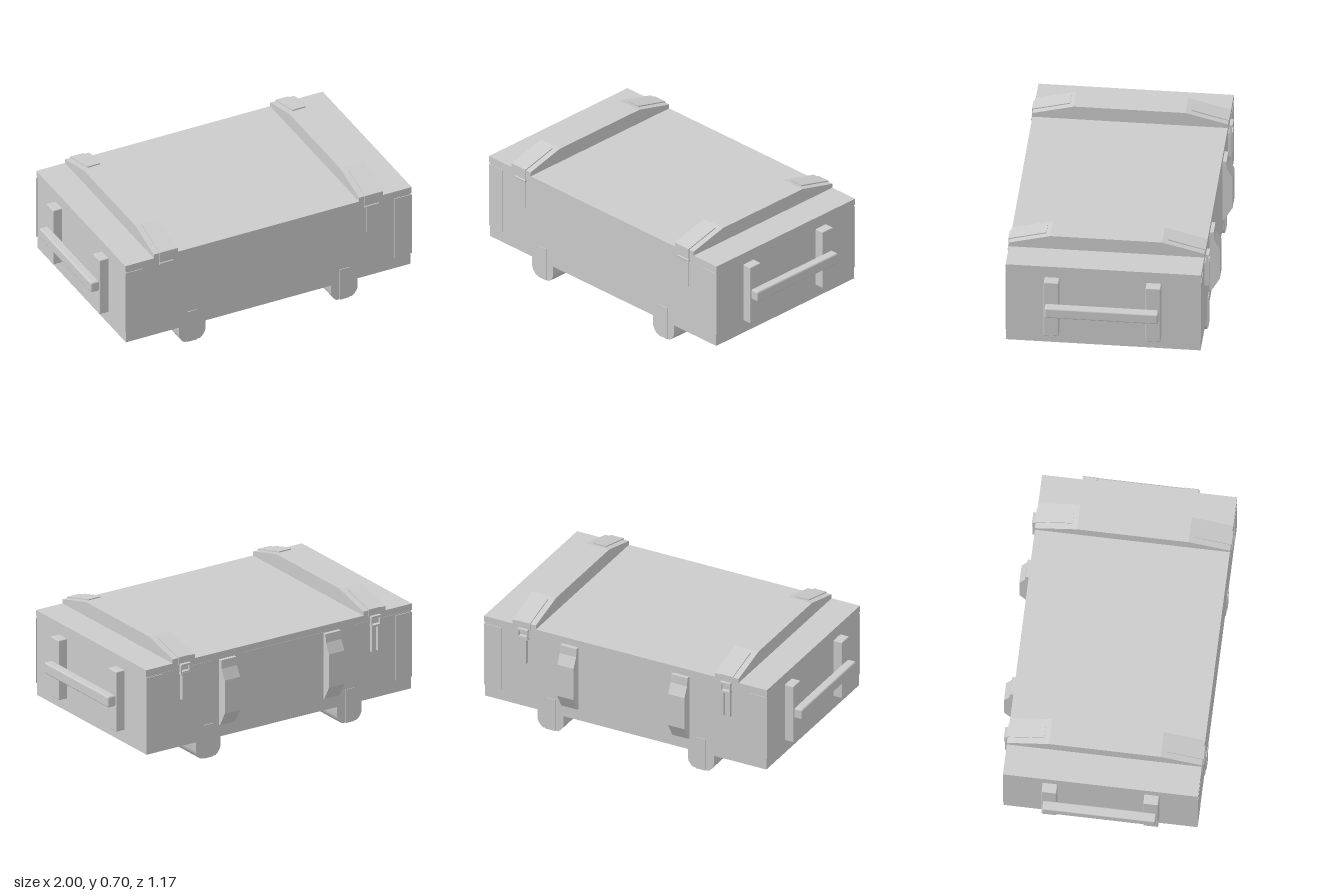
import * as THREE from 'three';
import { RoundedBoxGeometry } from 'three/addons/geometries/RoundedBoxGeometry.js';
import { toCreasedNormals } from 'three/addons/utils/BufferGeometryUtils.js';

const material = new THREE.MeshStandardMaterial({ color: 0xcccccc });

export function createModel() {
  const model = new THREE.Group();
  const add = (name, geometry) => {
    const mesh = new THREE.Mesh(geometry, material);
    mesh.name = name;
    model.add(mesh);
    return mesh;
  };
  // Box given by its extents on each axis
  const box = (name, x0, x1, y0, y1, z0, z1, radius = 0) => {
    const size = [Math.abs(x1 - x0), y1 - y0, z1 - z0];
    const geometry = radius ? new RoundedBoxGeometry(...size, 2, radius) : new THREE.BoxGeometry(...size);
    geometry.translate((x0 + x1) / 2, (y0 + y1) / 2, (z0 + z1) / 2);
    return add(name, geometry);
  };
  // Side profile of [z, y] points, extruded across x
  const sideProfile = (name, points, x, width) => {
    const shape = new THREE.Shape(points.map(([z, y]) => new THREE.Vector2(-z, y)));
    const geometry = new THREE.ExtrudeGeometry(shape, { depth: width, bevelEnabled: false });
    geometry.rotateY(Math.PI / 2).translate(x - width / 2, 0, 0);
    return add(name, geometry);
  };

  const front = 0.57, back = -0.525;

  // Body and lid
  box('body', -0.895, 0.895, 0.108, 0.579, back, front);
  box('lid', -0.9, 0.9, 0.581, 0.62, back - 0.003, front + 0.003);

  for (const side of [-1, 1]) {
    // Runner with rounded lower edges
    const x = side * 0.478, w = 0.083;
    const runner = new THREE.Shape();
    runner.moveTo(-w, 0.125);
    runner.lineTo(-w, 0.05);
    runner.quadraticCurveTo(-w + 0.006, 0.022, -w + 0.033, 0.002);
    runner.lineTo(w - 0.033, 0.002);
    runner.quadraticCurveTo(w - 0.006, 0.022, w, 0.05);
    runner.lineTo(w, 0.125);
    const runnerGeometry = new THREE.ExtrudeGeometry(runner, { depth: front - back, bevelEnabled: false, curveSegments: 5 });
    add('runner', toCreasedNormals(runnerGeometry.translate(x, 0, back), 0.9));

    // Metal straps wrapping the runner ends
    for (const [z, dir] of [[front, 1], [back, -1]]) {
      const inner = z - dir * 0.215, outer = z + dir * 0.004;
      box('runnerStrapFoot', x - 0.03, x + 0.03, 0, 0.004, Math.min(inner, outer), Math.max(inner, outer));
      box('runnerStrapEnd', x - 0.03, x + 0.03, 0, 0.2, Math.min(z, outer), Math.max(z, outer));
      // Corner plate
      box('cornerPlate', side * 0.79, side * 0.9, 0.18, 0.572, Math.min(z, outer), Math.max(z, outer));
    }

    // Lid batten with sloped ends
    const bx = side * 0.645;
    sideProfile('lidBatten', [
      [front + 0.003, 0.615], [front + 0.003, 0.645], [0.34, 0.705],
      [-0.29, 0.705], [back - 0.003, 0.645], [back - 0.003, 0.615],
    ], bx, 0.15);

    // Metal straps over the sloped batten ends
    sideProfile('frontLidStrap', [
      [0.365, 0.696], [0.365, 0.705], [0.579, 0.65], [0.579, 0.57], [0.573, 0.57], [0.573, 0.644],
    ], bx, 0.08);
    sideProfile('backLidStrap', [
      [-0.32, 0.696], [-0.32, 0.705], [-0.532, 0.65], [-0.532, 0.605], [-0.526, 0.605], [-0.526, 0.644],
    ], bx, 0.08);
    box('frontHingeStrap', bx - 0.03, bx + 0.03, 0.4, 0.579, front, front + 0.004);
    const pin = new THREE.CylinderGeometry(0.007, 0.007, 0.085, 10);
    add('hingePin', pin.rotateZ(Math.PI / 2).translate(bx, 0.577, 0.577));

    // Rear latch: a single tongue on one side, a forked one on the other
    if (side > 0) {
      box('latchTongue', bx - 0.024, bx + 0.024, 0.395, 0.565, back - 0.023, back);
    } else {
      for (const s of [-1, 1]) box('latchFork', bx + s * 0.012, bx + s * 0.028, 0.395, 0.545, back - 0.02, back);
    }
    for (const s of [-1, 1]) box('latchLoop', bx + s * 0.024, bx + s * 0.032, 0.545, 0.607, back - 0.022, back - 0.008);
    for (const y of [0.545, 0.598]) box('latchBar', bx - 0.032, bx + 0.032, y, y + 0.012, back - 0.025, back);

    // Rear bumper block
    sideProfile('rearBlock', [
      [back, 0.575], [-0.548, 0.575], [-0.552, 0.525], [-0.583, 0.465],
      [-0.583, 0.265], [-0.535, 0.18], [back, 0.18],
    ], side * 0.353, 0.104);

    // End handle: two uprights and a horizontal bar
    for (const z of [0.312, -0.262]) box('handleUpright', side * 0.89, side * 0.95, 0.185, 0.545, z - 0.042, z + 0.042, 0.005);
    box('handleBar', side * 0.945, side, 0.337, 0.403, -0.295, 0.345, 0.01);
  }
  return model;
}
